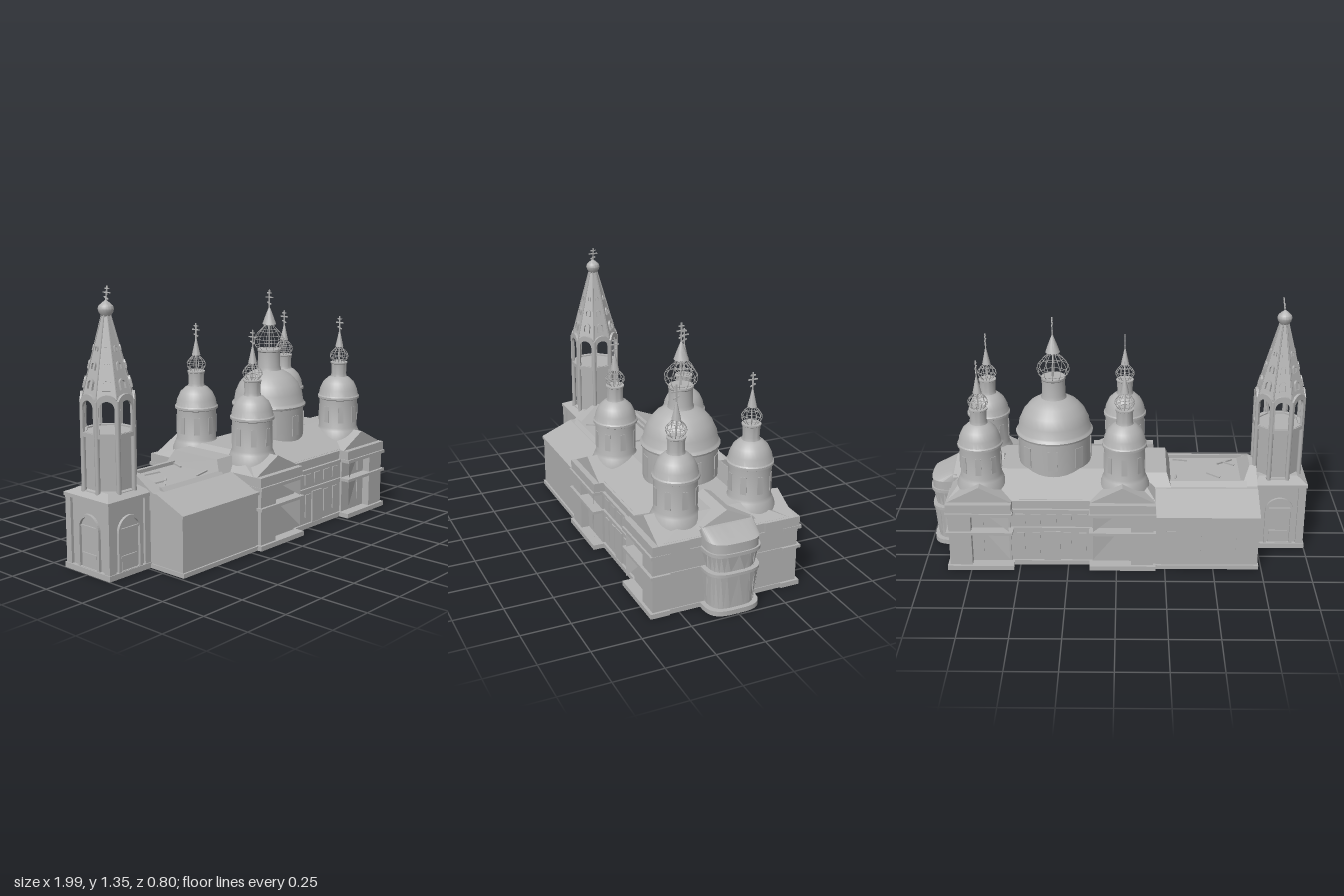
import * as THREE from 'three';
import { toCreasedNormals } from 'three/addons/utils/BufferGeometryUtils.js';

export function createModel() {
  const root = new THREE.Group();
  root.name = 'church';
  const stone = new THREE.MeshStandardMaterial({ color: 0xb2b2b2, side: THREE.DoubleSide });
  stone.name = 'grey stone';

  const add = (name, geo, parent = root) => {
    const m = new THREE.Mesh(geo, stone);
    m.name = name;
    parent.add(m);
    return m;
  };
  // Box given by its limits, with an optional smaller top rectangle [x0, x1, z0, z1]
  const block = (name, x0, x1, y0, y1, z0, z1, top, parent = root) => {
    if (x0 > x1) [x0, x1] = [x1, x0];
    if (z0 > z1) [z0, z1] = [z1, z0];
    const g = new THREE.BoxGeometry(1, 1, 1), p = g.attributes.position;
    for (let i = 0; i < p.count; i++) {
      const up = p.getY(i) > 0, r = up && top ? top : [x0, x1, z0, z1];
      p.setXYZ(i, p.getX(i) < 0 ? r[0] : r[1], up ? y1 : y0, p.getZ(i) < 0 ? r[2] : r[3]);
    }
    g.computeVertexNormals();
    return add(name, g, parent);
  };
  const lathe = (name, pts, parent, seg = 32) => add(name, toCreasedNormals(
    new THREE.LatheGeometry(pts.map(([r, y]) => new THREE.Vector2(r, y)), seg), 0.6), parent);
  const rod = (name, pts, r, parent, closed = false) => add(name, new THREE.TubeGeometry(
    new THREE.CatmullRomCurve3(pts, closed), 20, r, 4, closed), parent);
  const sheet = (name, pts, parent = root) => {
    const g = new THREE.BufferGeometry();
    g.setAttribute('position', new THREE.Float32BufferAttribute(pts.flat(), 3));
    g.computeVertexNormals();
    return add(name, g, parent);
  };
  // Outline of a round-headed opening
  const arch = (w, y0, y1, C = THREE.Shape) => {
    const s = new C();
    s.moveTo(-w, y0);
    s.lineTo(w, y0);
    s.lineTo(w, y1 - w);
    s.absarc(0, y1 - w, w, 0, Math.PI, false);
    s.closePath();
    return s;
  };
  const extrude = (shape, depth) => new THREE.ExtrudeGeometry(shape, { depth, bevelEnabled: false, curveSegments: 10 });
  // Three-barred cross facing along x
  const cross = (y0, h, parent) => {
    const g = new THREE.Group();
    g.name = 'cross';
    g.position.y = y0;
    parent.add(g);
    block('crossPost', -0.003, 0.003, 0, h, -0.003, 0.003, null, g);
    for (const [f, w, tilt] of [[0.83, 0.014, 0], [0.6, 0.025, 0], [0.28, 0.015, 0.4]]) {
      const b = block('crossBar', -0.003, 0.003, -0.003, 0.003, -w, w, null, g);
      b.position.y = h * f;
      b.rotation.x = tilt;
    }
    return g;
  };

  // ---- Main hall
  const mid = 0.335;
  block('hallWalls', -0.19, 0.86, 0, 0.38, -0.33, 0.33);
  for (const [y0, y1, o] of [[0, 0.025, 0.012], [0.205, 0.22, 0.012], [0.31, 0.325, 0.015]])
    block('hallBand', -0.195, 0.865, y0, y1, -0.33 - o, 0.33 + o);
  block('hallRoof', -0.2, 0.865, 0.375, 0.46, -0.34, 0.34, [-0.1, 0.77, -0.14, 0.14]);
  for (const t of [-1, 1]) {
    // Middle bay windows and door
    for (let i = -2; i <= 2; i++) {
      block('upperWindow', mid + i * 0.08 - 0.025, mid + i * 0.08 + 0.025, 0.24, 0.295, t * 0.33, t * 0.336);
      if (i) block('lowerWindow', mid + i * 0.08 - 0.02, mid + i * 0.08 + 0.02, 0.06, 0.185, t * 0.33, t * 0.336);
    }
    block('door', mid - 0.045, mid + 0.04, 0.025, 0.195, t * 0.33, t * 0.339);
    for (const s of [-1, 1]) {
      // Projecting porch with open inner half
      const X = d => mid + s * d, [a, b] = [X(0.2), X(0.53)];
      for (const [y0, y1, z] of [[0, 0.025, 0.4], [0.205, 0.22, 0.4], [0.31, 0.327, 0.4]])
        block('porchBand', X(0.195), X(0.538), y0, y1, t * 0.3, t * z);
      block('porchWall', X(0.41), X(0.525), 0.02, 0.31, t * 0.15, t * 0.385);
      block('porchBack', X(0.21), X(0.41), 0.02, 0.31, t * 0.3, t * 0.342);
      for (const y of [0.07, 0.235]) block('porchWindow', X(0.35), X(0.4), y, y + 0.06 + (y < 0.1 ? 0.06 : 0), t * 0.34, t * 0.347);
      for (const [y0, y1] of [[0.06, 0.205], [0.222, 0.31]])
        sheet('porchSlantedPanel', [[X(0.215), y1, t * 0.388], [X(0.215), y0, t * 0.388], [X(0.35), y1, t * 0.344]]);
      block('porchEaves', X(0.2), X(0.535), 0.327, 0.375, t * 0.2, t * 0.39);
      // Pediment with ridge running inward
      const c = (a + b) / 2;
      block('pediment', a, b, 0.375, 0.458, t * 0.12, t * 0.36, [c - 0.001, c + 0.001, t > 0 ? 0.12 : -0.36, t > 0 ? 0.36 : -0.12]);
    }
  }

  // ---- Rounded apse with pleated walls
  const apseAt = (a, k = 1) => {
    const c = Math.cos(a), s = Math.sin(a);
    return [0.86 + 0.13 * k * Math.pow(Math.max(c, 0), 0.6), 0.14 * k * Math.sign(s) * Math.pow(Math.abs(s), 0.6)];
  };
  const apseSlab = (name, k, y0, y1, topScale = 1) => {
    const s = new THREE.Shape();
    s.moveTo(0.84, -0.14 * k);
    for (let i = 0; i <= 24; i++) s.lineTo(...apseAt((i / 24 - 0.5) * Math.PI, k));
    s.lineTo(0.84, 0.14 * k);
    s.closePath();
    const g = extrude(s, y1 - y0).rotateX(-Math.PI / 2), p = g.attributes.position;
    for (let i = 0; i < p.count; i++) {
      if (p.getY(i) > 1e-4) p.setX(i, 0.84 + (p.getX(i) - 0.84) * topScale);
    }
    g.translate(0, y0, 0);
    g.computeVertexNormals();
    add(name, toCreasedNormals(g, 0.6));
  };
  apseSlab('apseCore', 0.82, 0, 0.32);
  apseSlab('apsePlinth', 1, 0, 0.025);
  apseSlab('apseBand', 1, 0.205, 0.22);
  apseSlab('apseCornice', 1.02, 0.31, 0.327);
  apseSlab('apseAttic', 0.96, 0.327, 0.375);
  apseSlab('apseRoof', 0.98, 0.375, 0.42, 0.25);
  for (const [y0, y1] of [[0.025, 0.205], [0.22, 0.31]]) {
    const tri = [], n = 12, P = (i, y, k) => {
      const [x, z] = apseAt((i / n - 0.5) * Math.PI, k);
      return [x, y, z];
    };
    for (let i = 0; i < n; i++) {
      tri.push(P(i, y1, 0.97), P(i + 0.5, y0, 0.86), P(i + 1, y1, 0.97));
      tri.push(P(i + 0.5, y0, 0.86), P(i + 0.5, y1, 0.83), P(i + 1, y1, 0.97));
    }
    sheet('apsePleats', tri);
  }
  block('apseGable', 0.6, 0.86, 0.41, 0.48, -0.15, 0.15, [0.6, 0.85, -0.001, 0.001]);

  // ---- Domes: drum, dome, neck, wire onion, finial and cross
  const domeTower = (x, z, drum, onionY, onionR, onionH, tip, crossH) => {
    const g = new THREE.Group();
    g.name = 'domeTower';
    g.position.set(x, 0, z);
    root.add(g);
    lathe('drumAndDome', drum, g);
    const prof = t => [onionR * (0.5 + 0.5 * Math.sin(Math.PI * Math.min(1, t * 1.15 + 0.02))) * (1 - 0.45 * t * t), onionY + onionH * t];
    for (let i = 0; i < 12; i++) {
      const a = i * Math.PI / 6;
      rod('onionRib', [0, 0.15, 0.3, 0.5, 0.7, 0.85, 1].map(t => {
        const [r, y] = prof(t);
        return new THREE.Vector3(r * Math.cos(a), y, r * Math.sin(a));
      }), 0.0017, g);
    }
    for (const t of [0.2, 0.45, 0.7, 0.9]) {
      const [r, y] = prof(t);
      add('onionRing', new THREE.TorusGeometry(r, 0.0017, 4, 24).rotateX(Math.PI / 2).translate(0, y, 0), g);
    }
    const top = onionY + onionH, r = onionR * 0.42;
    add('onionPole', new THREE.CylinderGeometry(0.004, 0.004, onionH, 6).translate(0, onionY + onionH / 2, 0), g);
    lathe('finial', [[0, top - 0.01], [r, top - 0.01], [r * 0.6, top + (tip - top) * 0.4], [0.004, tip], [0, tip]], g, 16);
    cross(tip - 0.005, crossH, g);
    return g;
  };
  const smallDrum = [[0.13, 0.38], [0.127, 0.42], [0.112, 0.455], [0.105, 0.47], [0.105, 0.625], [0.115, 0.63], [0.115, 0.642],
    [0.109, 0.648], [0.103, 0.68], [0.085, 0.718], [0.06, 0.742], [0.045, 0.75], [0.041, 0.765], [0.043, 0.82], [0.047, 0.823], [0.047, 0.83], [0, 0.83]];
  for (const x of [-0.04, 0.7]) for (const z of [-0.2, 0.195]) {
    const g = domeTower(x, z, smallDrum, 0.83, 0.054, 0.095, 1.0, 0.09);
    for (let i = 0; i < 8; i++) {
      const w = block('drumWindow', -0.015, 0.015, 0.5, 0.59, 0.1, 0.107, null, g);
      w.rotation.y = i * Math.PI / 4;
    }
  }
  const main = domeTower(0.33, -0.005, [[0.19, 0.4], [0.19, 0.615], [0.2, 0.618], [0.203, 0.628], [0.195, 0.638], [0.19, 0.645],
    [0.183, 0.69], [0.16, 0.74], [0.125, 0.78], [0.085, 0.805], [0.067, 0.812], [0.062, 0.83], [0.06, 0.91], [0.064, 0.915], [0.064, 0.925], [0, 0.925]],
    0.91, 0.09, 0.16, 1.15, 0.1);
  for (let i = 0; i < 8; i++) {
    const w = block('drumWindow', -0.025, 0.025, 0.47, 0.58, 0.184, 0.192, null, main);
    w.rotation.y = i * Math.PI / 4;
  }

  // ---- Low nave with broken roof
  block('naveWalls', -0.73, -0.19, 0, 0.3, -0.37, 0.365);
  block('navePlinth', -0.735, -0.19, 0, 0.022, -0.38, 0.375);
  block('naveCornice', -0.735, -0.19, 0.288, 0.302, -0.38, 0.373);
  block('naveRoof', -0.735, -0.19, 0.302, 0.375, -0.38, 0.373, [-0.735, -0.19, -0.2, 0.2]);
  for (const t of [-1, 1]) for (const x of [-0.64, -0.46, -0.28])
    block('naveWindow', x - 0.025, x + 0.025, 0.08, 0.22, t * 0.36, t * 0.368 - 0.004);
  block('roofEnd', -0.735, -0.65, 0.37, 0.445, -0.18, 0.18, [-0.735, -0.7, -0.06, 0.06]);
  block('roofEnd', -0.285, -0.15, 0.37, 0.445, -0.19, 0.19, [-0.26, -0.15, -0.15, 0.15]);
  block('roofEdge', -0.68, -0.26, 0.37, 0.393, -0.19, -0.13, [-0.68, -0.26, -0.145, -0.13]);
  block('roofEdge', -0.68, -0.26, 0.37, 0.393, 0.165, 0.2, [-0.68, -0.26, 0.165, 0.175]);
  for (const [x, z, l, r] of [[-0.58, 0.1, 0.12, 0.75], [-0.6, 0.08, 0.07, -0.4], [-0.51, -0.06, 0.08, -0.5], [-0.34, 0.12, 0.08, 0.05], [-0.31, -0.08, 0.06, 1.4]]) {
    const b = block('fallenBeam', -l / 2, l / 2, -0.004, 0.004, -0.005, 0.005);
    b.position.set(x, 0.385, z);
    b.rotation.set(0, r, 0.12);
  }

  // ---- Gate tower base
  block('towerBase', -0.98, -0.73, 0, 0.37, -0.142, 0.137);
  block('towerPlinth', -1, -0.72, 0, 0.028, -0.162, 0.155);
  block('towerCornice', -1, -0.72, 0.36, 0.378, -0.162, 0.155);
  block('towerBaseRoof', -1, -0.72, 0.378, 0.405, -0.162, 0.155, [-0.95, -0.75, -0.1, 0.1]);
  for (const x of [-0.975, -0.745]) for (const z of [-0.137, 0.132])
    block('cornerPilaster', x - 0.02, x + 0.02, 0.028, 0.36, z - 0.018, z + 0.018);
  for (const [x, z, r] of [[-0.86, 0.137, 0], [-0.86, -0.142, Math.PI], [-0.98, 0, -Math.PI / 2]]) {
    const g = new THREE.Group();
    g.name = 'archedPortal';
    g.position.set(x, 0, z);
    g.rotation.y = r;
    root.add(g);
    const s = arch(0.075, 0.028, 0.295);
    s.holes.push(arch(0.06, 0.03, 0.28, THREE.Path));
    add('portalFrame', extrude(s, 0.014), g);
    block('portalDoor', -0.05, 0.05, 0.03, 0.1, 0, 0.006, null, g);
    block('portalLintel', -0.06, 0.06, 0.225, 0.235, 0, 0.008, null, g);
  }

  // ---- Octagonal belfry with tent spire
  const bell = new THREE.Group();
  bell.name = 'belfry';
  bell.position.set(-0.845, 0, -0.005);
  root.add(bell);
  const oct = (name, rTop, rBot, y0, y1) => add(name, new THREE.CylinderGeometry(rTop, rBot, y1 - y0, 8, 1, false, Math.PI / 8)
    .toNonIndexed().translate(0, (y0 + y1) / 2, 0), bell).geometry.computeVertexNormals();
  oct('belfryFoot', 0.132, 0.137, 0.375, 0.4);
  oct('belfryCore', 0.115, 0.115, 0.38, 0.675);
  const h = 0.38, rb = 0.117, slope = Math.atan((rb - 0.02) / h);
  add('spire', new THREE.CylinderGeometry(0.022, rb / Math.cos(Math.PI / 8), h, 8, 1, true, Math.PI / 8).toNonIndexed()
    .translate(0, 0.84 + h / 2, 0), bell).geometry.computeVertexNormals();
  for (let i = 0; i < 8; i++) {
    const side = new THREE.Group();
    side.name = 'belfrySide';
    side.rotation.y = i * Math.PI / 4;
    bell.add(side);
    const s = arch(0.052, 0.66, 0.865);
    s.holes.push(arch(0.036, 0.68, 0.835, THREE.Path));
    add('bellArch', extrude(s, 0.014).translate(0, 0, 0.113), side);
    block('sidePanelSill', -0.05, 0.05, 0.665, 0.682, 0.1, 0.121, null, side);
    // Round-headed dormers and bosses up the spire
    for (const [y, w, d] of [[0.9, 0.02, 0.014], [0.985, 0.015, 0.012], [1.065, 0.01, 0.009]]) {
      const f = arch(w, -w, w * 1.7);
      f.holes.push(arch(w * 0.6, -w * 0.7, w * 1.2, THREE.Path));
      const m = add('dormer', extrude(f, d), side);
      m.position.set(0, y, rb - (y - 0.84) * Math.tan(slope) - 0.002);
      m.rotation.x = -slope;
    }
    // Corner posts and spire ribs
    const a = (i + 0.5) * Math.PI / 4, v = (r, y) => new THREE.Vector3(r * Math.sin(a), y, r * Math.cos(a));
    add('cornerPost', new THREE.CylinderGeometry(0.012, 0.012, 0.45, 8).translate(...v(0.127, 0.61).toArray()), bell);
    rod('spireRib', [v(0.127, 0.84), v(0.075, 1.03), v(0.022, 1.22)], 0.004, bell);
  }
  lathe('spireBulb', [[0, 1.2], [0.022, 1.2], [0.022, 1.215], [0.034, 1.232], [0.038, 1.248], [0.034, 1.262], [0.02, 1.275], [0.007, 1.285], [0, 1.29]], bell, 16);
  cross(1.275, 0.08, bell).rotation.z = -0.14;

  return root;
}
